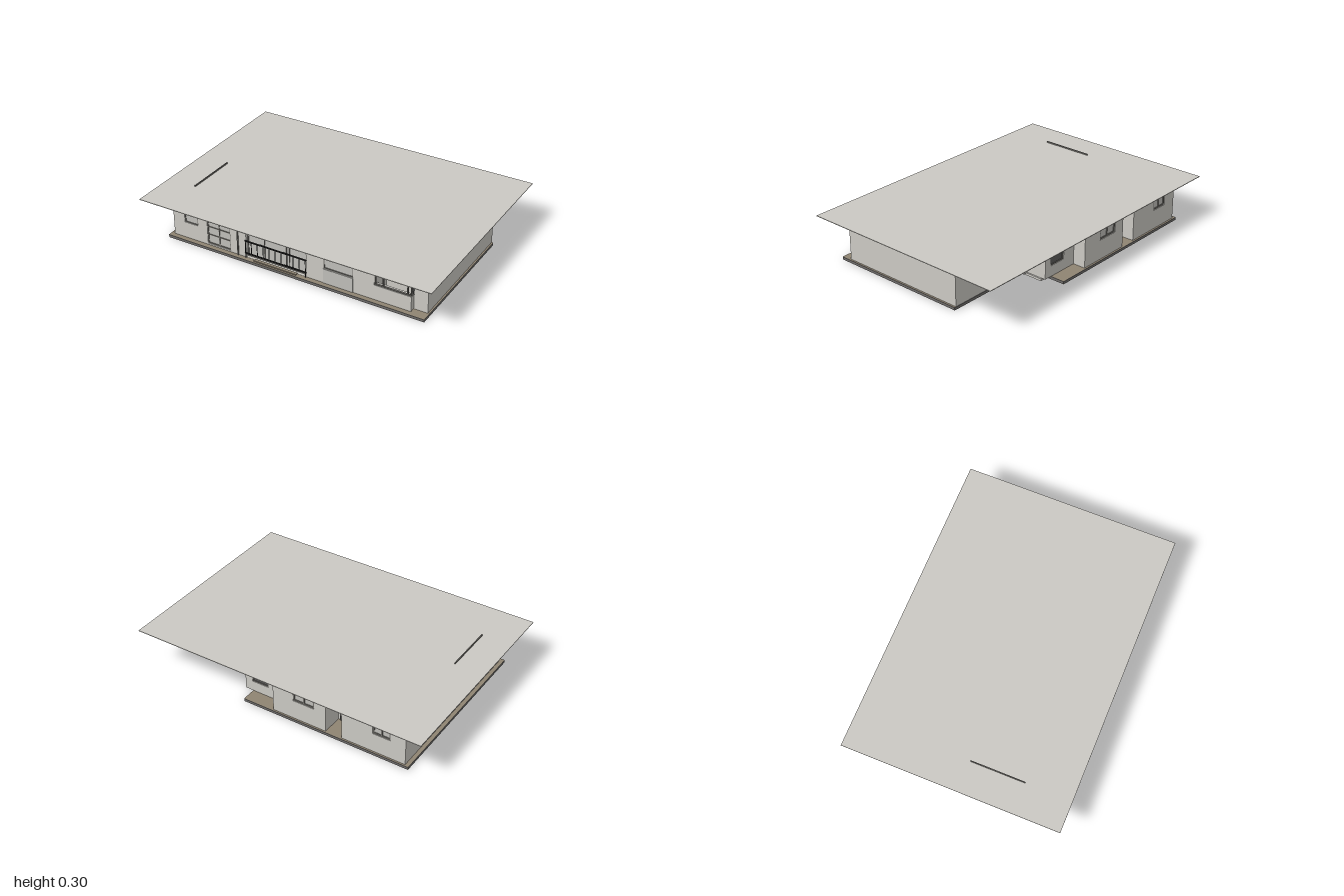
import * as THREE from 'three';

const mat = (name, color) => {
  const m = new THREE.MeshStandardMaterial({ color });
  m.name = name;
  return m;
};

export function createModel() {
  const house = new THREE.Group();
  house.name = 'house';
  const plaster = mat('plaster', 0xcbc9c3);
  const concrete = mat('concrete', 0x6c6a68);
  const wood = mat('wood', 0x8f8472);
  const metal = mat('black metal', 0x242424);
  const frame = mat('grey frame', 0x75736e);
  const glass = mat('pale glass', 0xbfbeb9);
  const darkGlass = mat('dark glass', 0x5c5b5a);

  // Box given by its limits on each axis
  const box = (name, m, x0, x1, y0, y1, z0, z1, parent = house) => {
    const mesh = new THREE.Mesh(new THREE.BoxGeometry(x1 - x0, y1 - y0, z1 - z0), m);
    mesh.position.set((x0 + x1) / 2, (y0 + y1) / 2, (z0 + z1) / 2);
    mesh.name = name;
    parent.add(mesh);
    return mesh;
  };
  const outline = (T, pts) => new T(pts.map(([x, y]) => new THREE.Vector2(x, y)));
  const rect = (T, x0, x1, y0, y1) => outline(T, [[x0, y0], [x1, y0], [x1, y1], [x0, y1]]);

  const floorY = 0.02, roofY = 0.29;

  // Wall across x with rectangular openings [x0, x1, y0, y1]
  const wall = (name, x0, x1, z0, z1, openings = []) => {
    const s = rect(THREE.Shape, x0, x1, floorY, roofY);
    openings.forEach((o) => s.holes.push(rect(THREE.Path, ...o)));
    const mesh = new THREE.Mesh(new THREE.ExtrudeGeometry(s, { depth: z1 - z0, bevelEnabled: false }), plaster);
    mesh.position.z = z0;
    mesh.name = name;
    house.add(mesh);
  };

  // Framed window centred on depth z, with bars at fractions of its width and height
  const windowUnit = (name, [x0, x1, y0, y1], z, pane, cols = [], rows = [], t = 0.006) => {
    const g = new THREE.Group();
    g.name = name;
    house.add(g);
    if (pane) box('pane', pane, x0, x1, y0, y1, z - 0.002, z + 0.002, g);
    const a = z - 0.006, b = z + 0.006;
    [0, ...cols, 1].forEach((f) => {
      const x = x0 + t / 2 + f * (x1 - x0 - t);
      box('upright', frame, x - t / 2, x + t / 2, y0, y1, a, b, g);
    });
    [0, ...rows, 1].forEach((f) => {
      const y = y0 + t / 2 + f * (y1 - y0 - t);
      box('crossbar', frame, x0, x1, y - t / 2, y + t / 2, a, b, g);
    });
  };

  // Base slab with a cut-out at the back left corner (shape y is -z)
  const slabShape = outline(THREE.Shape, [[-0.88, -0.59], [0.91, -0.59], [0.91, 0.35], [0.27, 0.35], [0.27, 0.62], [-0.88, 0.62]]);
  const slab = new THREE.Mesh(
    new THREE.ExtrudeGeometry(slabShape, { depth: 0.018, bevelEnabled: false }), concrete);
  slab.rotation.x = -Math.PI / 2;
  slab.name = 'baseSlab';
  house.add(slab);
  const floor = new THREE.Mesh(new THREE.ShapeGeometry(slabShape), wood);
  floor.rotation.x = -Math.PI / 2;
  floor.position.y = floorY;
  floor.name = 'floorCovering';
  house.add(floor);

  // Flat roof and its thin ridge fin
  box('roof', plaster, -1, 1, roofY, 0.294, -0.705, 0.7);
  box('roofFin', frame, -0.801, -0.795, 0.294, 0.303, 0.05, 0.4);

  // Side walls
  box('rightSideWall', plaster, -0.855, -0.835, floorY, roofY, -0.59, 0.54);
  box('leftSideWall', plaster, 0.88, 0.9, floorY, roofY, -0.33, 0.505);

  // Front wall with its openings
  const small = [-0.77, -0.67, 0.13, 0.265];
  const french = [-0.6, -0.43, 0.03, 0.275];
  const wide = [-0.315, 0.11, 0.021, 0.28];
  const middle = [0.23, 0.43, 0.12, 0.275];
  const bay = [0.57, 0.809, 0.12, 0.275];
  wall('frontWall', -0.855, 0.57, 0.54, 0.56, [small, french, wide, middle]);
  wall('frontPier', 0.81, 0.9, 0.505, 0.525);
  windowUnit('smallFrontWindow', small, 0.55, glass, [], [], 0.005);
  windowUnit('frenchDoors', french, 0.55, glass, [0.5], [0.25, 0.48]);
  windowUnit('wideWindow', wide, 0.535, glass, [0.28, 0.65, 0.7]);
  windowUnit('middleWindow', middle, 0.55, glass, [], [0.94], 0.005);
  box('middleApron', glass, 0.23, 0.43, floorY, 0.118, 0.558, 0.563);
  box('downpipe', frame, -0.378, -0.37, floorY, roofY, 0.56, 0.567);
  box('wideWindowStep', wood, -0.25, 0.05, floorY, 0.027, 0.56, 0.58);

  // Open bay at the front left, with a lit interior behind it
  box('bayApron', plaster, 0.57, 0.81, floorY, 0.12, 0.525, 0.56);
  box('bayHead', plaster, 0.57, 0.81, 0.275, roofY, 0.525, 0.56);
  windowUnit('bayWindow', bay, 0.55, null, [0.22, 0.9], [0.95]);
  box('baySidePane', darkGlass, 0.804, 0.809, 0.12, 0.275, 0.525, 0.554);
  box('bayInnerWall', plaster, 0.55, 0.88, floorY, roofY, 0.4, 0.41);
  box('bayInnerSide', plaster, 0.55, 0.57, floorY, roofY, 0.41, 0.54);
  box('curtain', wood, 0.59, 0.622, 0.12, 0.26, 0.41, 0.42);
  [0.15, 0.19, 0.24].forEach((y) => box('shelf', frame, 0.73, 0.78, y, y + 0.004, 0.41, 0.43));
  box('shelfOrnament', metal, 0.74, 0.752, 0.194, 0.215, 0.415, 0.428);

  // Balcony railing
  const railing = new THREE.Group();
  railing.name = 'railing';
  house.add(railing);
  [0.05, 0.136].forEach((y) => box('rail', metal, -0.32, 0.115, y, y + 0.007, 0.562, 0.57, railing));
  for (let i = 0; i <= 10; i++) {
    const x = -0.316 + i * 0.0425;
    box('baluster', metal, x - 0.002, x + 0.002, i % 10 ? 0.05 : floorY, 0.143, 0.564, 0.568, railing);
  }

  // Back walls, stepping in and out from left to right
  const winA = [-0.235, -0.085, 0.15, 0.235], winB = [-0.755, -0.635, 0.15, 0.235];
  const hall = [0.155, 0.275, 0.09, 0.255];
  wall('backEntryWall', 0.34, 0.9, -0.35, -0.33);
  wall('backHallWall', 0.06, 0.325, -0.525, -0.505, [hall]);
  wall('backMiddleWall', -0.315, 0.06, -0.61, -0.59, [winA]);
  wall('backRightWall', -0.855, -0.425, -0.61, -0.59, [winB]);
  wall('backRecessWall', -0.425, -0.315, -0.47, -0.45);
  box('hallSideWall', plaster, 0.305, 0.325, floorY, roofY, -0.505, -0.33);
  box('entryPier', plaster, 0.325, 0.36, floorY, roofY, -0.39, -0.33);
  box('middleLeftReturn', plaster, 0.04, 0.06, floorY, roofY, -0.59, -0.505);
  box('middleRightReturn', plaster, -0.315, -0.295, floorY, roofY, -0.59, -0.45);
  box('recessReturn', plaster, -0.445, -0.425, floorY, roofY, -0.59, -0.45);
  windowUnit('hallWindow', hall, -0.515, darkGlass);
  windowUnit('backMiddleWindow', winA, -0.6, glass, [0.5], [], 0.01);
  windowUnit('backRightWindow', winB, -0.6, glass, [0.5], [], 0.01);
  windowUnit('recessDoor', [-0.41, -0.33, 0.021, 0.26], -0.473, glass, [], [0.4]);

  // Back entrance door, its trim and the porch step
  box('entryDoor', wood, 0.495, 0.615, floorY, 0.26, -0.354, -0.349);
  [0.489, 0.615].forEach((x) => box('doorJamb', frame, x, x + 0.006, floorY, 0.266, -0.357, -0.349));
  box('doorHead', frame, 0.489, 0.621, 0.26, 0.266, -0.357, -0.349);
  box('porchStep', plaster, 0.27, 0.335, 0.005, floorY, -0.5, -0.37);

  return house;
}
